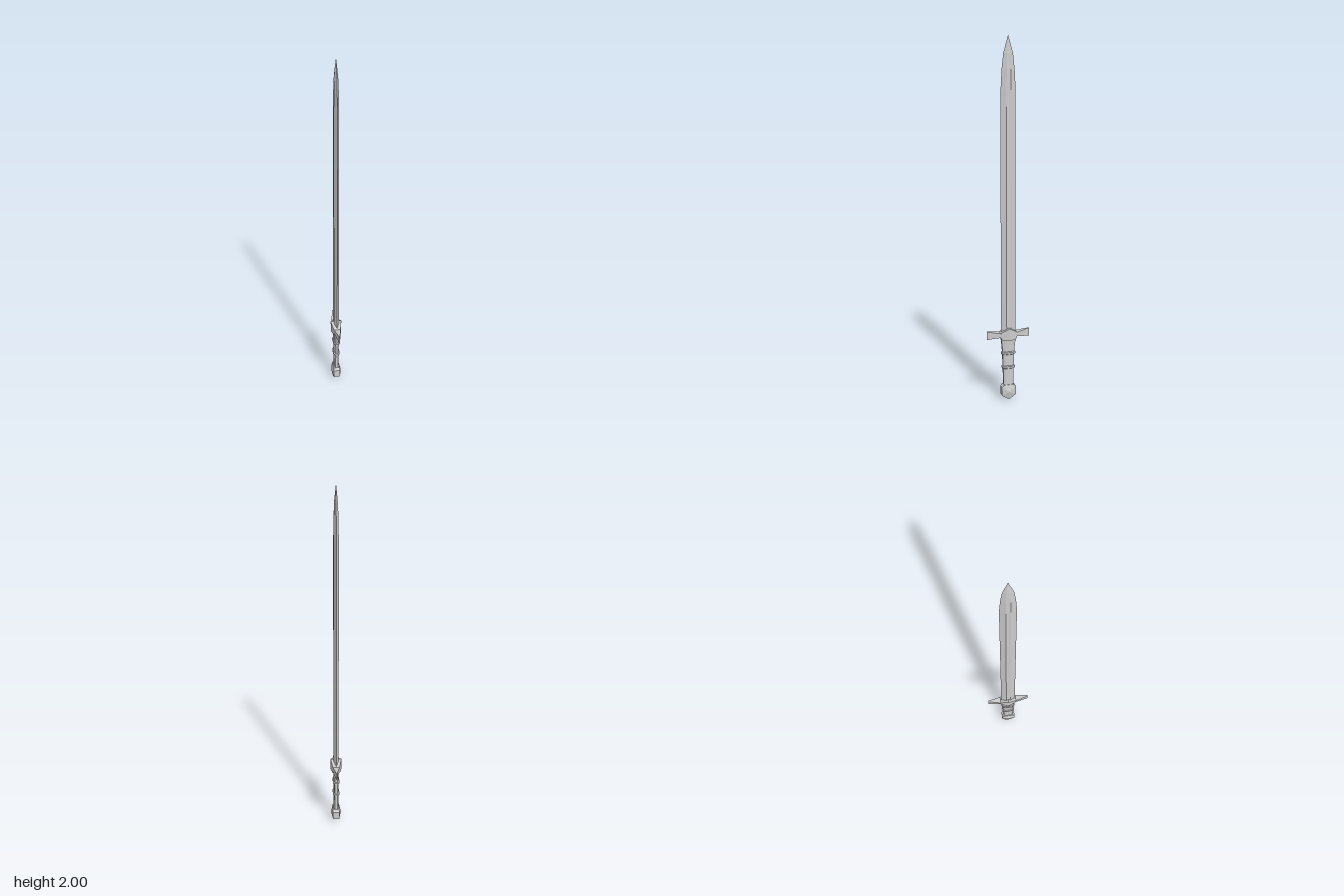
import * as THREE from 'three';

const material = new THREE.MeshStandardMaterial({ color: 0xcccccc, flatShading: true });

// Skins a list of equal-length rings, closes both ends and faces everything outward.
function loft(name, rings) {
  const tris = [];
  const n = rings[0].length;
  for (let r = 0; r < rings.length - 1; r++) {
    const a = rings[r], b = rings[r + 1];
    for (let i = 0; i < n; i++) {
      const j = (i + 1) % n;
      tris.push([a[i], a[j], b[j]], [a[i], b[j], b[i]]);
    }
  }
  const cap = (ring, flip) => {
    const c = [0, 1, 2].map(k => ring.reduce((s, p) => s + p[k], 0) / n);
    for (let i = 0; i < n; i++) {
      const j = (i + 1) % n;
      tris.push(flip ? [c, ring[j], ring[i]] : [c, ring[i], ring[j]]);
    }
  };
  cap(rings[0], true);
  cap(rings[rings.length - 1], false);

  // A negative enclosed volume means the winding is inside out.
  const v = p => new THREE.Vector3(...p);
  const volume = tris.reduce((s, [a, b, c]) => s + v(a).dot(v(b).cross(v(c))), 0);
  const solid = tris.filter(([a, b, c]) => v(b).sub(v(a)).cross(v(c).sub(v(a))).length() > 1e-10);
  const flat = solid.flatMap(([a, b, c]) => (volume < 0 ? [a, c, b] : [a, b, c])).flat();
  const geometry = new THREE.BufferGeometry();
  geometry.setAttribute('position', new THREE.Float32BufferAttribute(flat, 3));
  geometry.computeVertexNormals();
  const mesh = new THREE.Mesh(geometry, material);
  mesh.name = name;
  return mesh;
}

// Blade section: sharp edges at +-w, flats at +-t and a shallow central groove.
const bladeRing = (y, w, t, g) => [
  [0, y, w], [t, y, w * 0.3], [t - g, y, 0], [t, y, -w * 0.3],
  [0, y, -w], [-t, y, -w * 0.3], [g - t, y, 0], [-t, y, w * 0.3],
];

// Eight-sided grip section, long in z.
const gripRing = (y, w, t) => [
  [t * 0.5, y, w], [t, y, w * 0.55], [t, y, -w * 0.55], [t * 0.5, y, -w],
  [-t * 0.5, y, -w], [-t, y, -w * 0.55], [-t, y, w * 0.55], [-t * 0.5, y, w],
];

export function createModel() {
  const sword = new THREE.Group();
  sword.name = 'sword';

  // Blade, tapering to a point
  sword.add(loft('blade', [
    bladeRing(0.38, 0.042, 0.015, 0.002),
    bladeRing(1.72, 0.041, 0.0135, 0.002),
    bladeRing(1.83, 0.035, 0.012, 0.001),
    bladeRing(1.91, 0.026, 0.009, 0),
    bladeRing(2, 0, 0, 0),
  ]));

  // Crossguard: [z, half thickness, bottom, top], mirrored along z
  const half = [
    [0, 0.031, 0.355, 0.425],
    [0.039, 0.021, 0.356, 0.403],
    [0.047, 0.019, 0.373, 0.397],
    [0.122, 0.003, 0.364, 0.41],
  ];
  const stations = [...half.slice(1).reverse().map(([z, ...s]) => [-z, ...s]), ...half];
  sword.add(loft('crossguard', stations.map(([z, t, lo, hi]) =>
    [[t, lo, z], [t, hi, z], [-t, hi, z], [-t, lo, z]])));

  // Grip with a collar above the pommel
  sword.add(loft('grip', [
    gripRing(0.07, 0.029, 0.015),
    gripRing(0.105, 0.028, 0.014),
    gripRing(0.19, 0.031, 0.013),
    gripRing(0.28, 0.034, 0.0135),
    gripRing(0.32, 0.037, 0.014),
    gripRing(0.365, 0.042, 0.016),
  ]));

  // Raised bands around the grip
  for (const [y, w] of [[0.193, 0.037], [0.276, 0.04]]) {
    sword.add(loft('gripBand', [
      gripRing(y - 0.009, w - 0.005, 0.014),
      gripRing(y - 0.005, w, 0.019),
      gripRing(y + 0.005, w, 0.019),
      gripRing(y + 0.009, w - 0.005, 0.014),
    ]));
  }

  // Pommel: house-shaped slab with a low pyramid on each face
  const outline = [[0, 0], [0.04, 0.027], [0.041, 0.075], [0.028, 0.088],
    [-0.028, 0.088], [-0.041, 0.075], [-0.04, 0.027]];
  const slab = x => outline.map(([z, y]) => [x, y, z]);
  const apex = x => outline.map(() => [x, 0.05, 0]);
  sword.add(loft('pommel', [apex(-0.029), slab(-0.018), slab(0.018), apex(0.029)]));

  return sword;
}
